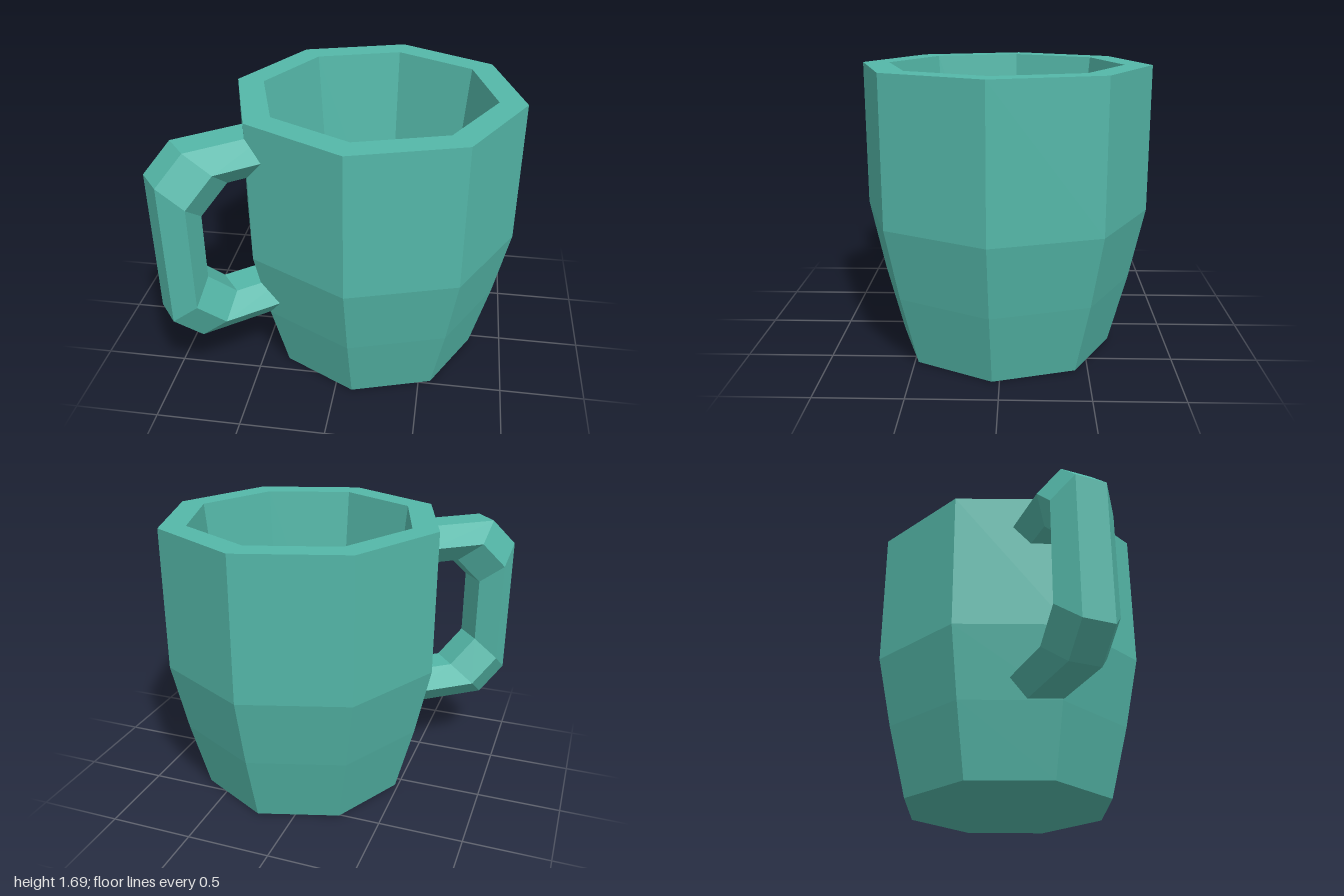
import * as THREE from 'three';

// Give every face its own flat normal
function faceted(geometry) {
  const flat = geometry.index ? geometry.toNonIndexed() : geometry;
  flat.computeVertexNormals();
  return flat;
}

// Eight-sided cup: underside, outer wall, rim, tapered inside, floor
function cupGeometry() {
  const profile = [
    [0, 0], [0.643, 0], [0.753, 0.42], [0.843, 0.84], [0.843, 1.69],
    [0.684, 1.69], [0.523, 0.17], [0, 0.17],
  ].map(([r, y]) => new THREE.Vector2(r, y));
  return faceted(new THREE.LatheGeometry(profile, 8, THREE.MathUtils.degToRad(84.9)));
}

// Squashed hexagonal bar swept around a chamfered C; ends are buried in the wall
function handleGeometry() {
  const t = 0.115;
  // [z, y] of the bar's centre, then [z, y] from the centre to its outer face
  const path = [
    [0.57, 1.487, 0, t], [0.937, 1.487, t, t], [1.1, 1.327, t, t],
    [1.1, 0.703, t, -t], [0.937, 0.543, t, -t], [0.48, 0.543, 0, -t],
  ];
  // [x, share of the outward offset]
  const hexagon = [[-0.19, 0], [-0.093, 1], [0.093, 1], [0.19, 0], [0.093, -1], [-0.093, -1]];
  const positions = [];
  const index = [];
  path.forEach(([z, y, oz, oy]) => {
    hexagon.forEach(([x, s]) => positions.push(x, y + s * oy, z + s * oz));
  });
  for (let i = 0; i < path.length - 1; i++) {
    for (let j = 0; j < 6; j++) {
      const a = i * 6 + j;
      const b = i * 6 + (j + 1) % 6;
      index.push(a, a + 6, b + 6, a, b + 6, b);
    }
  }
  const geometry = new THREE.BufferGeometry();
  geometry.setAttribute('position', new THREE.Float32BufferAttribute(positions, 3));
  geometry.setIndex(index);
  return faceted(geometry);
}

export function createModel() {
  const teal = new THREE.MeshStandardMaterial({ color: 0x54b7a8 });
  teal.name = 'teal glaze';

  const cup = new THREE.Mesh(cupGeometry(), teal);
  cup.name = 'cup';
  cup.position.set(0.16, 0, -0.015);

  const handle = new THREE.Mesh(handleGeometry(), teal);
  handle.name = 'handle';
  // Points to the front right, slightly off the cup's axis
  handle.rotation.y = THREE.MathUtils.degToRad(-51.5);
  handle.position.set(0.011, 0, 0.014);

  const mug = new THREE.Group();
  mug.name = 'mug';
  mug.add(cup, handle);
  return mug;
}
